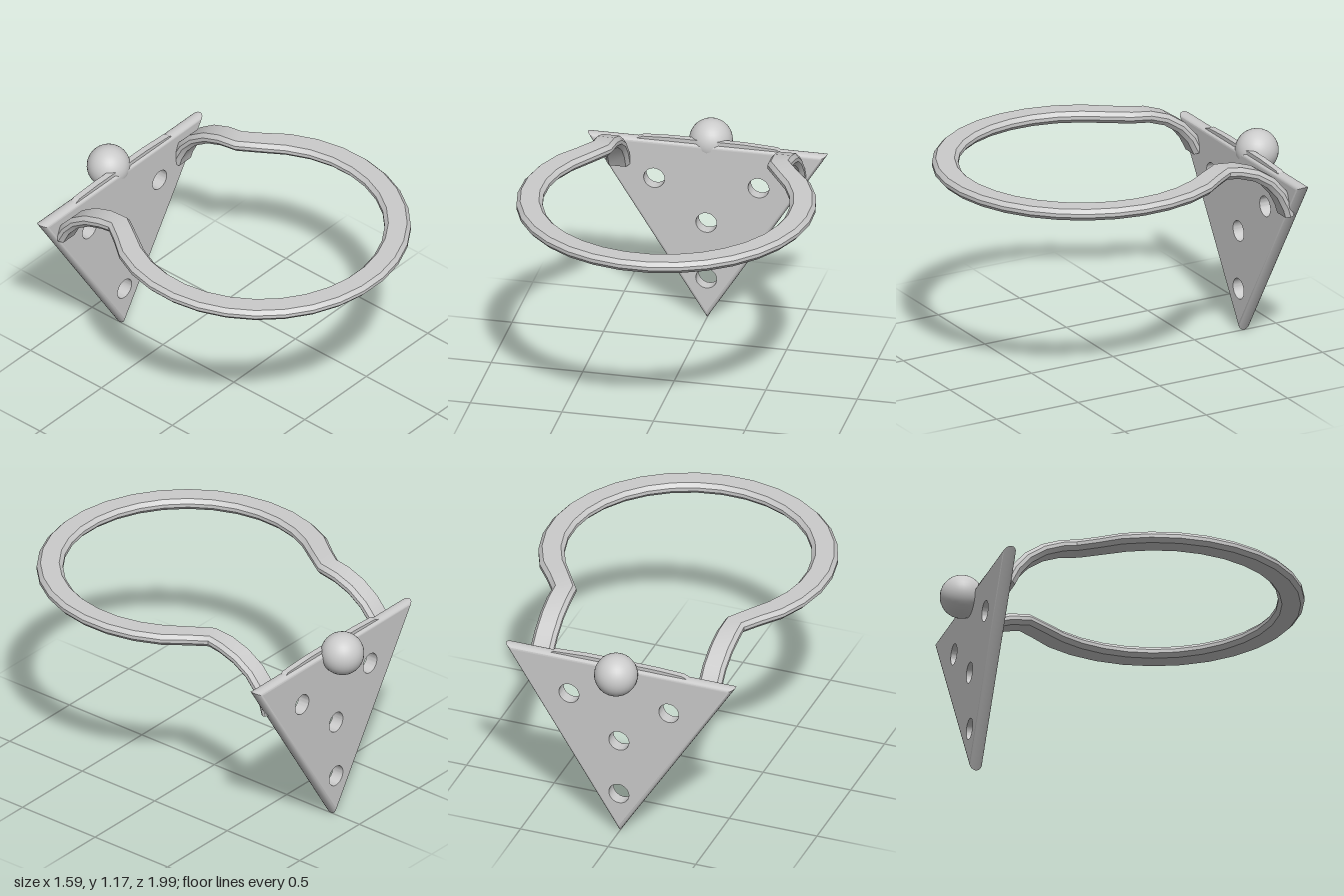
import * as THREE from 'three';
import { toCreasedNormals } from 'three/addons/utils/BufferGeometryUtils.js';

const material = new THREE.MeshStandardMaterial({ color: 0xcccccc });

function addMesh(parent, name, geometry) {
  const mesh = new THREE.Mesh(geometry, material);
  mesh.name = name;
  parent.add(mesh);
  return mesh;
}

// Skin a list of closed loops (arrays of Vector3), optionally capping both ends.
function loft(rows, capped, crease) {
  const n = rows[0].length;
  const index = [];
  for (let i = 0; i < rows.length - 1; i++) {
    for (let j = 0; j < n; j++) {
      const a = i * n + j, b = i * n + (j + 1) % n;
      index.push(a, a + n, b, b, a + n, b + n);
    }
  }
  if (capped) {
    const last = (rows.length - 1) * n;
    for (let j = 1; j < n - 1; j++) {
      index.push(0, j, j + 1, last, last + j + 1, last + j);
    }
  }
  const geometry = new THREE.BufferGeometry().setFromPoints(rows.flat());
  geometry.setIndex(index);
  return toCreasedNormals(geometry, crease);
}

// Triangular plate: pierced core plus a rounded rim.
function createPlate() {
  const plate = new THREE.Group();
  plate.name = 'backPlate';
  const half = 0.655, top = 1.028, centreZ = -0.805, halfDepth = 0.035, round = 0.022;
  const inradius = half * top / (half + Math.hypot(half, top));
  const centreY = top - inradius;
  const triangle = (inset) => {
    const s = 1 - inset / inradius;
    return [[-half, top], [0, 0], [half, top]].map(([x, y]) =>
      new THREE.Vector2(x * s, centreY + (y - centreY) * s));
  };

  const shape = new THREE.Shape(triangle(round));
  for (const [x, y] of [[-0.285, 0.805], [0.285, 0.805], [0, 0.57], [0, 0.24]]) {
    shape.holes.push(new THREE.Path().absarc(x, y, 0.057, 0, Math.PI * 2, true));
  }
  const core = new THREE.ExtrudeGeometry(shape, {
    depth: halfDepth * 2, bevelEnabled: false, curveSegments: 24,
  });
  addMesh(plate, 'piercedCore', toCreasedNormals(core, 0.6)).position.z = centreZ - halfDepth;

  const rows = [];
  for (let k = 0; k <= 8; k++) {
    const t = Math.PI * k / 8;
    const z = centreZ + halfDepth * Math.cos(t);
    rows.push(triangle(round * (1 - Math.sin(t))).map(p => new THREE.Vector3(p.x, p.y, z)));
  }
  addMesh(plate, 'roundedRim', loft(rows, false, 0.8));

  // Slight swelling along the top edge
  const swell = new THREE.Shape([[-0.42, 1.01], [0.42, 1.01], [0.38, 1.035], [0.2, 1.045],
    [-0.2, 1.045], [-0.35, 1.038]].map(p => new THREE.Vector2(...p)));
  addMesh(plate, 'topSwelling', new THREE.ExtrudeGeometry(swell, {
    depth: 0.035, bevelEnabled: false,
  })).position.z = -0.82;
  return plate;
}

// Hoop band: circle, narrowing neck and two arms bending down to the plate.
function createHoop() {
  const level = 1.143, radius = 0.73, centreZ = 0.19, open = 0.516, steps = 21;
  // Neck and arm points as x, y, z, listed from the plate outwards
  const arm = [[0.48, 0.83, -0.79], [0.48, 0.88, -0.775], [0.48, 0.96, -0.735],
    [0.48, 1.035, -0.67], [0.482, 1.095, -0.58], [0.484, 1.13, -0.48],
    [0.487, level, -0.385], [0.56, level, -0.275]];
  const path = arm.map(p => new THREE.Vector3(...p));
  for (let i = 0; i <= steps; i++) {
    const a = -open + (Math.PI + 2 * open) * i / steps;
    path.push(new THREE.Vector3(radius * Math.cos(a), level, centreZ + radius * Math.sin(a)));
  }
  // The other arm is a little shorter
  arm.slice(1).reverse().forEach(([x, y, z]) => path.push(new THREE.Vector3(-x, y, z)));

  const section = [[0.07, -0.01], [0.07, 0.01], [0.05, 0.032], [-0.05, 0.032],
    [-0.07, 0.01], [-0.07, -0.01], [-0.05, -0.032], [0.05, -0.032]];
  const up = new THREE.Vector3(0, 1, 0);
  const rows = path.map((p, i) => {
    const tangent = path[Math.min(i + 1, path.length - 1)].clone()
      .sub(path[Math.max(i - 1, 0)]).normalize();
    const side = tangent.clone().cross(up).normalize();
    const lift = side.clone().cross(tangent);
    const width = p.z < -0.2 ? 0.92 : 1;
    return section.map(([u, v]) =>
      p.clone().addScaledVector(side, u * width).addScaledVector(lift, v));
  });
  return loft(rows, true, 0.6);
}

export function createModel() {
  const model = new THREE.Group();
  model.name = 'hoopOnPlate';
  model.add(createPlate());
  addMesh(model, 'hoop', createHoop());
  addMesh(model, 'ball', new THREE.SphereGeometry(0.117, 32, 20)).position.set(0, 1.01, -0.883);
  return model;
}
